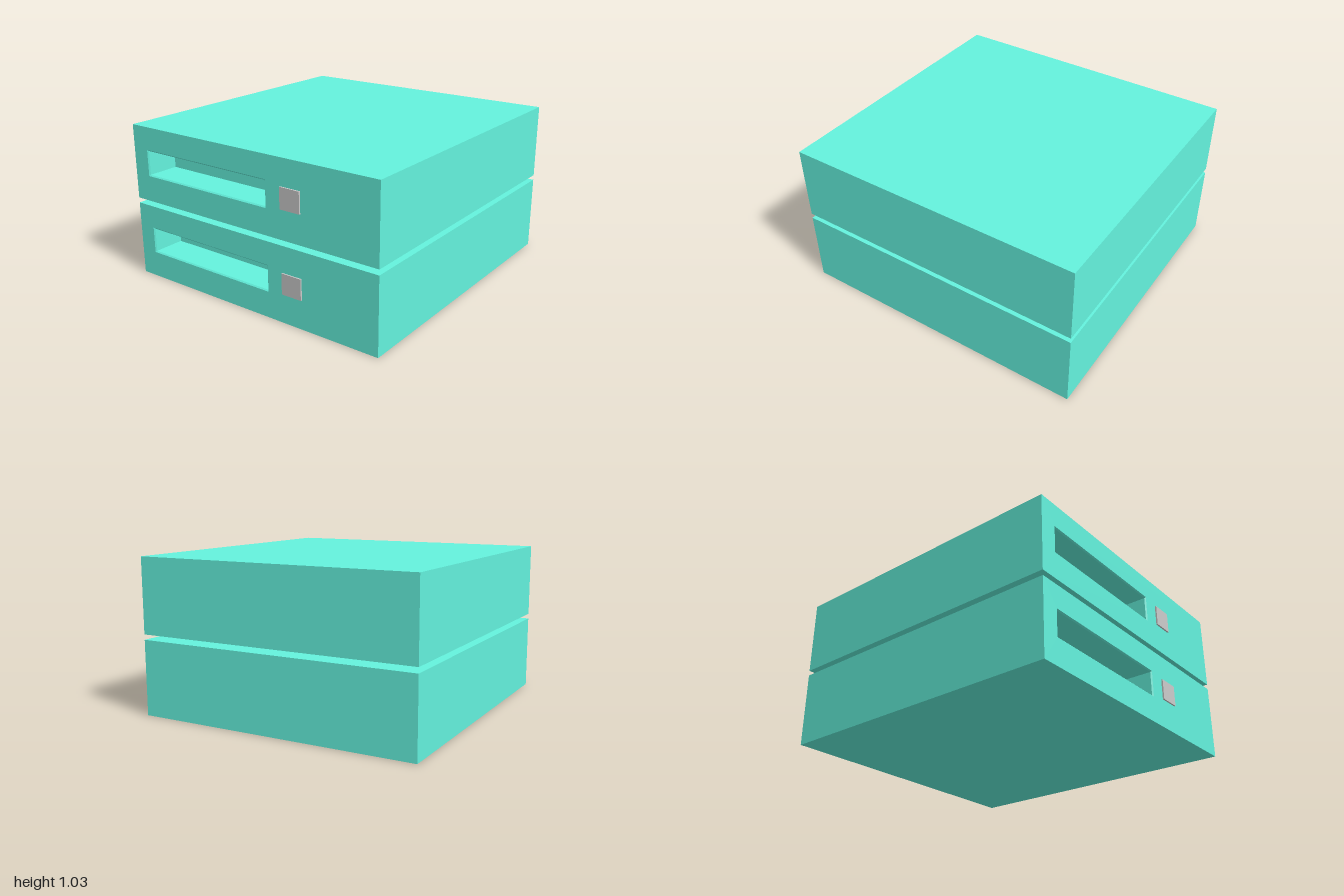
import * as THREE from 'three';
import { mergeGeometries } from 'three/addons/utils/BufferGeometryUtils.js';

const W = 1.914, H = 0.5, GAP = 0.035, BACK = -1, FRONT = 0.99;
const SLOT = { x0: -0.83, x1: 0.157, y0: 0.18, y1: 0.34, depth: 0.22, lip: 0.008 };
const BUTTON = { x: 0.35, y: 0.26, w: 0.144, h: 0.136 };

// Corners of the slot outline, counter-clockwise from the front, grown by g
function slotCorners(g, z) {
  const { x0, x1, y0, y1 } = SLOT;
  return [[x0 - g, y0 - g], [x1 + g, y0 - g], [x1 + g, y1 + g], [x0 - g, y1 + g]]
    .map(([x, y]) => new THREE.Vector3(x, y, z));
}

// Closed box with its front face left out
function shellGeometry() {
  const box = new THREE.BoxGeometry(W, H, FRONT - BACK);
  box.translate(0, H / 2, (FRONT + BACK) / 2);
  const front = box.groups[4];
  box.setIndex(Array.from(box.index.array)
    .filter((_, i) => i < front.start || i >= front.start + front.count));
  box.clearGroups();
  return box.toNonIndexed();
}

// Front panel with the slot opening cut out
function panelGeometry() {
  const shape = new THREE.Shape([
    new THREE.Vector2(-W / 2, 0), new THREE.Vector2(W / 2, 0),
    new THREE.Vector2(W / 2, H), new THREE.Vector2(-W / 2, H),
  ]);
  const mouth = slotCorners(SLOT.lip, 0).map((p) => new THREE.Vector2(p.x, p.y));
  shape.holes.push(new THREE.Path(mouth.reverse()));
  return new THREE.ShapeGeometry(shape).translate(0, 0, FRONT).toNonIndexed();
}

// Slot recess: bevelled lip, straight walls and back wall
function recessGeometry() {
  const rings = [
    slotCorners(SLOT.lip, FRONT),
    slotCorners(0, FRONT - SLOT.lip),
    slotCorners(0, FRONT - SLOT.depth),
  ];
  const points = [];
  const quad = (a, b, c, d) => points.push(a, b, c, a, c, d);
  for (let r = 0; r < rings.length - 1; r++) {
    for (let i = 0; i < 4; i++) {
      const j = (i + 1) % 4;
      quad(rings[r][i], rings[r][j], rings[r + 1][j], rings[r + 1][i]);
    }
  }
  quad(...rings[2]);
  const geometry = new THREE.BufferGeometry().setFromPoints(points);
  geometry.setAttribute('uv', new THREE.Float32BufferAttribute(new Float32Array(points.length * 2), 2));
  geometry.computeVertexNormals();
  return geometry;
}

export function createModel() {
  const group = new THREE.Group();
  group.name = 'stackedDriveUnits';
  const teal = new THREE.MeshStandardMaterial({ color: 0x64f3de });
  const grey = new THREE.MeshStandardMaterial({ color: 0xcccccc });
  const caseGeometry = mergeGeometries([shellGeometry(), panelGeometry(), recessGeometry()]);
  const buttonGeometry = new THREE.BoxGeometry(BUTTON.w, BUTTON.h, 0.02);

  // Two identical units, one above the other
  ['lower', 'upper'].forEach((level, i) => {
    const unit = new THREE.Group();
    unit.name = `${level}Unit`;
    unit.position.y = i * (H + GAP);

    const body = new THREE.Mesh(caseGeometry, teal);
    body.name = 'case';
    const button = new THREE.Mesh(buttonGeometry, grey);
    button.name = 'button';
    button.position.set(BUTTON.x, BUTTON.y, FRONT);

    unit.add(body, button);
    group.add(unit);
  });
  return group;
}
